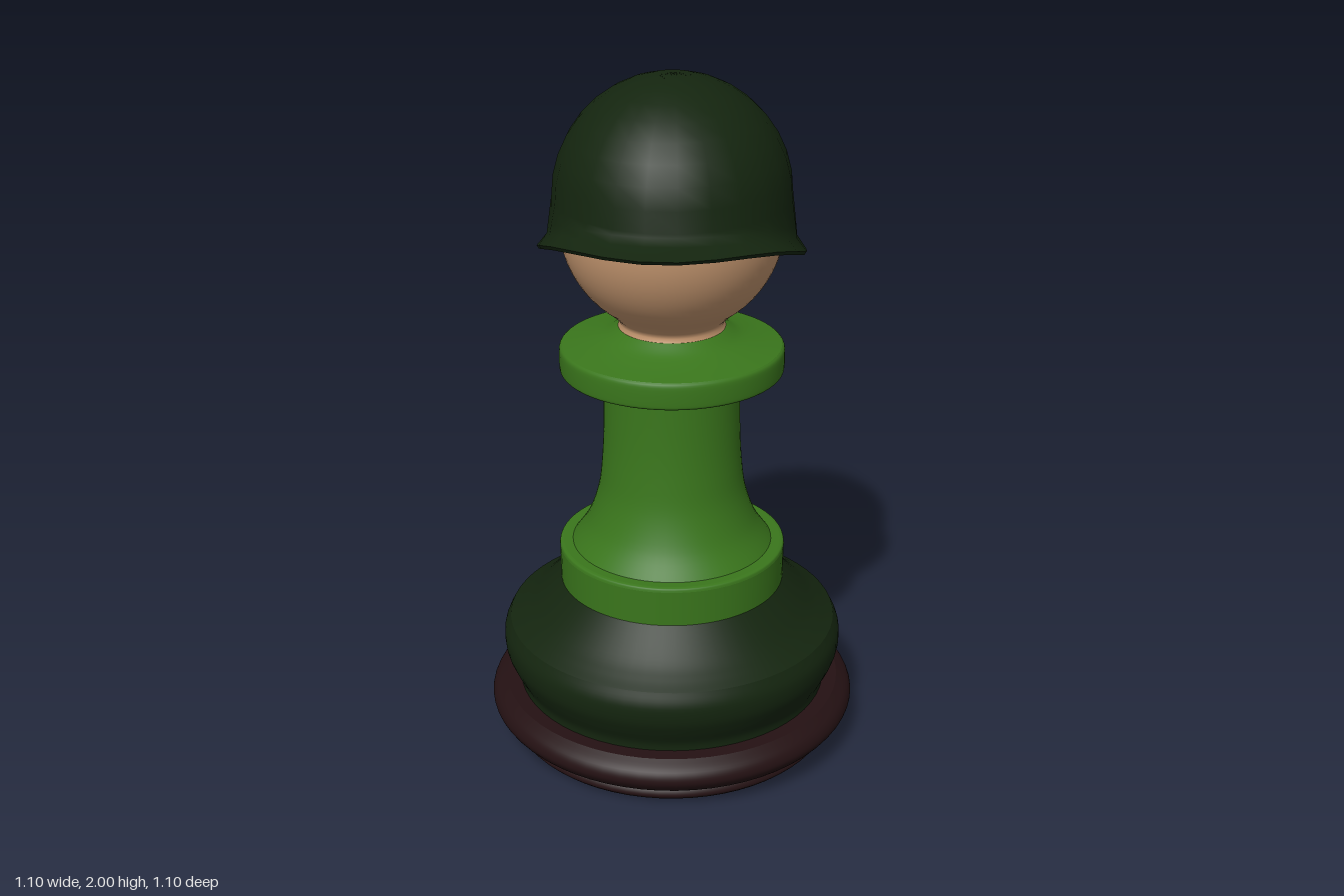
import * as THREE from 'three';
import { mergeGeometries } from 'three/addons/utils/BufferGeometryUtils.js';

const mat = (color) => new THREE.MeshStandardMaterial({ color, roughness: 0.7 });
const vecs = (pts) => pts.map(([x, y]) => new THREE.Vector2(x, y));

// Turned part made of smooth runs of profile, with hard edges between the runs
function turned(name, material, runs) {
  const geos = runs.map(({ pts, curve }) => {
    const p = curve ? new THREE.SplineCurve(vecs(pts)).getPoints(pts.length * 4) : vecs(pts);
    return new THREE.LatheGeometry(p, 64);
  });
  const mesh = new THREE.Mesh(mergeGeometries(geos), material);
  mesh.name = name;
  return mesh;
}

// Skin over a stack of closed rings, listed from top to bottom
function skinRings(rings) {
  const n = rings[0].length;
  const index = [];
  for (let r = 0; r < rings.length - 1; r++) {
    for (let i = 0; i < n; i++) {
      const j = (i + 1) % n;
      const a = r * n + i, b = a + n, c = (r + 1) * n + j, d = r * n + j;
      if (r > 0) index.push(a, c, d);
      index.push(a, b, c);
    }
  }
  const g = new THREE.BufferGeometry();
  g.setAttribute('position', new THREE.Float32BufferAttribute(rings.flat(2), 3));
  g.setIndex(index);
  g.computeVertexNormals();
  return g;
}

// Egg-shaped ring: half width, back z, front z and a height rule
const SEGMENTS = 24;
function ring(width, back, front, height) {
  const mid = -0.03;
  return Array.from({ length: SEGMENTS }, (_, i) => {
    const a = ((i + 0.5) / SEGMENTS) * Math.PI * 2;
    const c = Math.cos(a);
    const z = mid + c * (c > 0 ? front - mid : mid - back);
    return [Math.sin(a) * width, height(z, c), z];
  });
}

function createHelmet(material) {
  const group = new THREE.Group();
  group.name = 'helmet';
  // The rim is low at the back and sweeps up to the peak
  const rimY = (z) => 1.472 + 0.148 * THREE.MathUtils.smoothstep(z, -0.22, 0.46);
  const rings = [];
  for (let i = 0; i <= 9; i++) {
    const t = Math.max((i / 9) * Math.PI / 2, 0.001);
    const s = Math.sin(t), y = 1.665 + 0.335 * Math.cos(t);
    rings.push(ring(0.335 * s, -0.025 - 0.36 * s, -0.025 + 0.38 * s, () => y));
  }
  const rim = ring(0.378, -0.402, 0.468, (z) => rimY(z) + 0.006);
  rings.push(
    ring(0.346, -0.392, 0.362, (z, c) => rimY(z) + 0.08 - 0.035 * c),
    ring(0.35, -0.388, 0.39, (z, c) => rimY(z) + 0.045 - 0.02 * c),
    rim,
  );
  const shell = new THREE.Mesh(skinRings(rings), material);
  shell.name = 'helmetShell';

  // Underside of the rim, turning up inside around the head
  const lip = ring(0.372, -0.396, 0.46, (z) => rimY(z) - 0.004);
  const inner = ring(0.315, -0.345, 0.33, (z) => rimY(z) - 0.006);
  const up = ring(0.3, -0.31, 0.3, (z) => rimY(z) + 0.12);
  const under = new THREE.Mesh(
    mergeGeometries([skinRings([rim, rim, lip]), skinRings([lip, lip, inner]), skinRings([inner, inner, up])]),
    material,
  );
  under.name = 'helmetRim';
  group.add(shell, under);
  return group;
}

export function createModel() {
  const model = new THREE.Group();
  model.name = 'helmetedPawn';
  const brown = mat(0x241113);
  const darkGreen = mat(0x14250f);
  const green = mat(0x3a761c);
  const skin = mat(0xc4966f);
  darkGreen.side = THREE.DoubleSide;

  model.add(turned('foot', brown, [
    { pts: [[0, 0], [0.18, 0], [0.475, 0.01]] },
    { pts: [[0.475, 0.01], [0.488, 0.025], [0.482, 0.042], [0.47, 0.048]], curve: true },
    { pts: [[0.47, 0.048], [0.515, 0.065], [0.542, 0.092], [0.55, 0.115], [0.538, 0.142], [0.505, 0.165]], curve: true },
    { pts: [[0.505, 0.165], [0, 0.165]] },
  ]));

  model.add(turned('base', darkGreen, [
    { pts: [[0.463, 0.16], [0.466, 0.19], [0.488, 0.235], [0.505, 0.28], [0.506, 0.33], [0.488, 0.372]], curve: true },
    { pts: [[0.488, 0.372], [0.455, 0.392], [0.41, 0.425], [0.33, 0.5]], curve: true },
    { pts: [[0.33, 0.5], [0, 0.5]] },
  ]));

  model.add(turned('stem', green, [
    { pts: [[0.332, 0.495], [0.334, 0.605]] },
    { pts: [[0.334, 0.605], [0.331, 0.614], [0.322, 0.617]], curve: true },
    { pts: [[0.322, 0.617], [0.295, 0.617]] },
    { pts: [[0.295, 0.617], [0.25, 0.685], [0.217, 0.78], [0.204, 0.88], [0.198, 1.0], [0.197, 1.15]], curve: true },
  ]));

  model.add(turned('collar', green, [
    { pts: [[0.19, 1.153], [0.305, 1.153]] },
    { pts: [[0.305, 1.153], [0.318, 1.159], [0.322, 1.172], [0.322, 1.222], [0.314, 1.235]], curve: true },
    { pts: [[0.314, 1.235], [0.25, 1.247], [0.195, 1.263], [0.155, 1.288]], curve: true },
    { pts: [[0.155, 1.288], [0, 1.288]] },
  ]));

  // Head with a short neck
  const headPts = [[0.155, 1.285], [0.147, 1.298], [0.152, 1.312]];
  for (let a = -55; a <= 90; a += 5) {
    const t = THREE.MathUtils.degToRad(a);
    headPts.push([Math.max(0.315 * Math.cos(t), 0), 1.597 + 0.315 * Math.sin(t)]);
  }
  model.add(turned('head', skin, [{ pts: headPts }]));

  model.add(createHelmet(darkGreen));
  return model;
}
